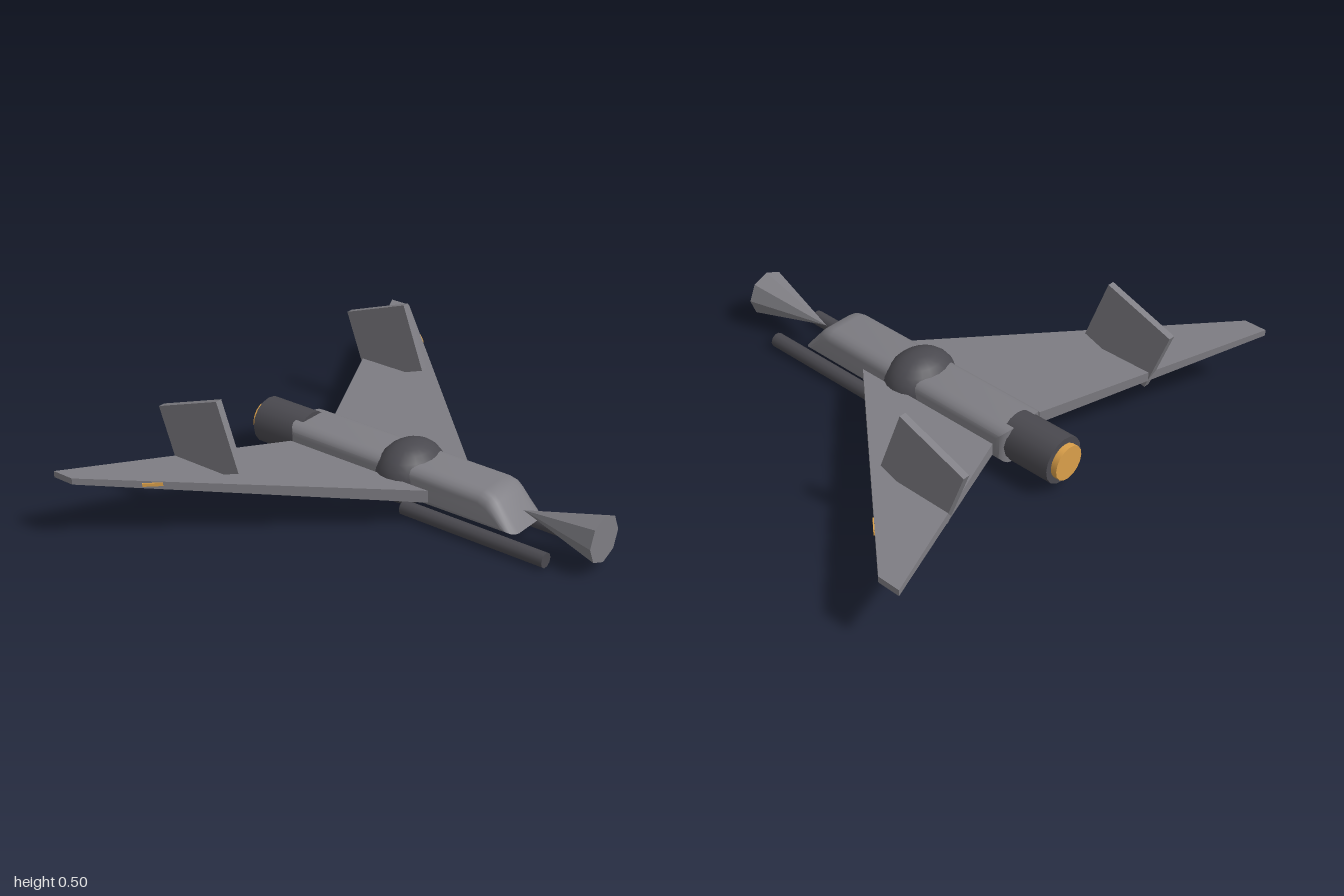
import * as THREE from 'three';
import { toCreasedNormals } from 'three/addons/utils/BufferGeometryUtils.js';
import { ConvexGeometry } from 'three/addons/geometries/ConvexGeometry.js';

const paint = (name, color, extra = {}) =>
  Object.assign(new THREE.MeshStandardMaterial({ color, ...extra }), { name });

export function createModel() {
  const model = new THREE.Group();
  model.name = 'starfighter';
  const hull = paint('hullGrey', 0x7e7d83);
  const dark = paint('darkGrey', 0x4a494f);
  const glow = paint('amber', 0xdba04a);

  const add = (name, geometry, material, x = 0, y = 0, z = 0) => {
    const mesh = new THREE.Mesh(geometry, material);
    mesh.name = name;
    mesh.position.set(x, y, z);
    model.add(mesh);
    return mesh;
  };
  // Cylinder lying along x
  const rod = (radius, length, sides) =>
    new THREE.CylinderGeometry(radius, radius, length, sides).rotateZ(Math.PI / 2);

  // Fuselage: side profile with a sloping nose, rounded along its edges
  const profile = [
    [-0.52, 0.055], [0.53, 0.055], [0.54, 0.07], [0.455, 0.175],
    [0.43, 0.196], [0.39, 0.205], [-0.52, 0.205],
  ].filter((p, i) => i !== 1).map(([x, y]) => new THREE.Vector2(x, y));
  const body = new THREE.ExtrudeGeometry(new THREE.Shape(profile), {
    depth: 0.12, bevelEnabled: true, bevelThickness: 0.05,
    bevelSize: 0.04, bevelOffset: -0.04, bevelSegments: 4,
  }).translate(0, 0, -0.06);
  add('fuselage', toCreasedNormals(body, 0.7), hull);

  // Central bulge around the fuselage
  const bulge = new THREE.SphereGeometry(0.125, 20, 14).scale(1, 1, 1.24);
  add('centreBulge', bulge, dark, 0, 0.13, 0);

  // Flared nose horn, opening forwards
  const horn = new THREE.ConeGeometry(0.094, 0.345, 8).rotateZ(Math.PI / 2);
  add('noseHorn', toCreasedNormals(horn, 0.3), hull, 0.688, 0.131, 0);

  // Engine and its glowing outlet
  add('engine', rod(0.095, 0.225, 16), dark, -0.5975, 0.13, 0);
  add('engineGlow', rod(0.07, 0.05, 16), glow, -0.71, 0.13, 0);

  // Paired parts
  for (const [side, s] of [['right', 1], ['left', -1]]) {
    // Swept wing, thinner and higher at the tip
    const corners = [];
    for (const [z, back, front, low, high] of [
      [0.13, -0.485, 0.178, 0.105, 0.155],
      [1, -0.865, -0.772, 0.245, 0.27],
    ]) {
      for (const x of [back, front])
        for (const y of [low, high]) corners.push(new THREE.Vector3(x, y, s * z));
    }
    add(side + 'Wing', new ConvexGeometry(corners), hull);

    // Tilted fin through the wing
    const fin = add(side + 'Fin', new THREE.BoxGeometry(0.313, 0.281, 0.028), hull,
      -0.55, 0.32, s * 0.556);
    fin.rotation.z = 0.342;

    // Small light on the leading edge
    const light = add(side + 'WingLight', new THREE.BoxGeometry(0.075, 0.013, 0.009), glow,
      -0.56, 0.232, s * 0.806);
    light.rotation.y = s * Math.atan2(0.87, 0.95);

    // Gun barrel below the hull
    add(side + 'Gun', rod(0.03, 0.64, 10), dark, 0.37, 0.034, s * 0.11);
  }
  return model;
}
